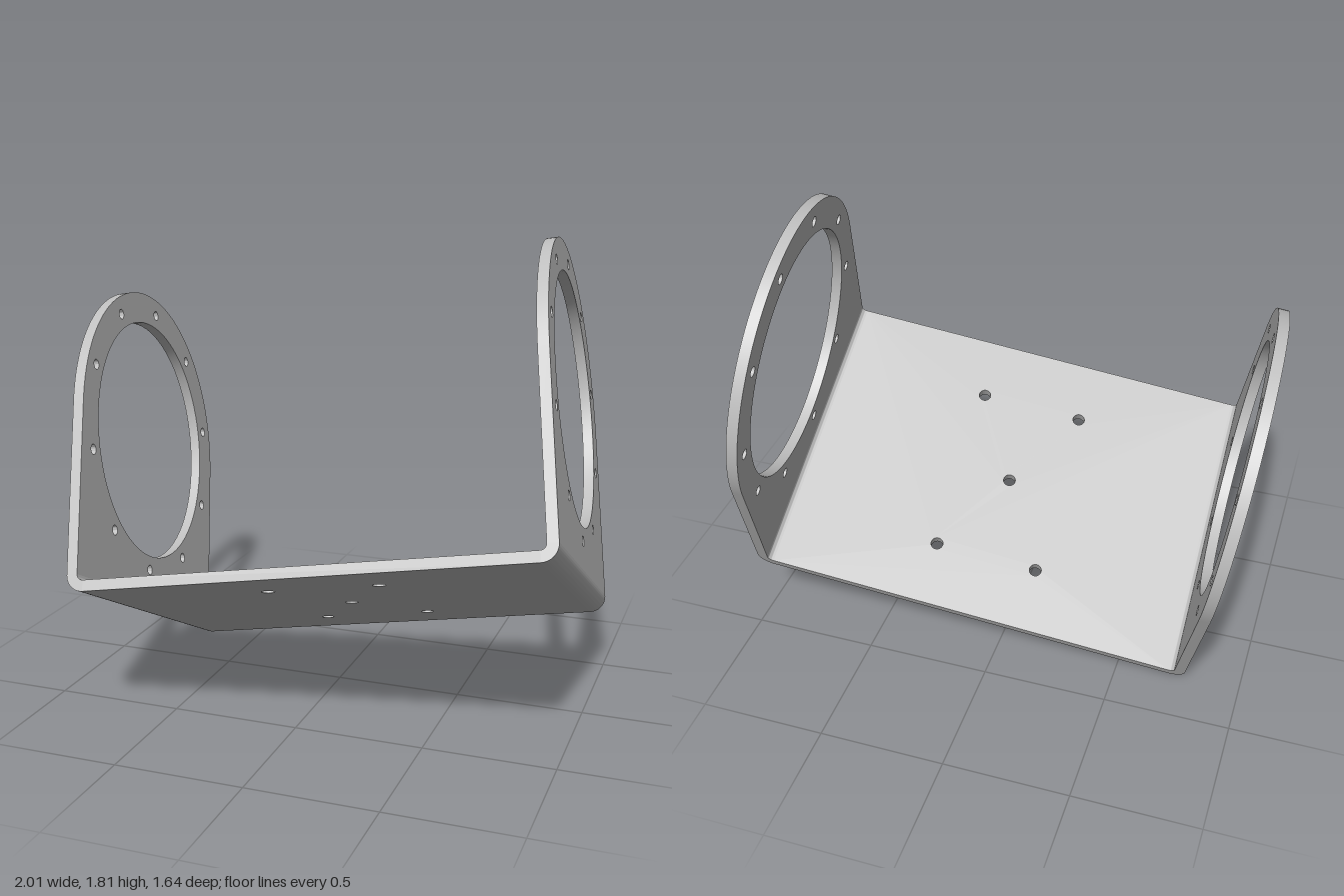
import * as THREE from 'three';
import { toCreasedNormals } from 'three/addons/utils/BufferGeometryUtils.js';

const HALF_W = 0.905;   // half the outer width between the arms
const HALF_D = 0.62;    // half the depth, also the radius of the arm ends
const T = 0.042;        // sheet thickness
const BEND = 0.065;     // outer bend radius
const RING_Y = 0.732;   // height of the ring centre above the underside

function extrude(shape, depth, curveSegments) {
  const geo = new THREE.ExtrudeGeometry(shape, { depth, bevelEnabled: false, curveSegments });
  return toCreasedNormals(geo, 0.5);
}

function punch(shape, x, y, r) {
  const hole = new THREE.Path();
  hole.absarc(x, y, r, 0, Math.PI * 2, true);
  shape.holes.push(hole);
}

// Upright plate with a round end, a large opening and ten bolt holes
function armGeometry() {
  const s = new THREE.Shape();
  s.moveTo(-HALF_D, BEND);
  s.lineTo(HALF_D, BEND);
  s.lineTo(HALF_D, RING_Y);
  s.absarc(0, RING_Y, HALF_D, 0, Math.PI, false);
  s.closePath();
  punch(s, 0, RING_Y, 0.495);
  for (let i = 0; i < 10; i++) {
    const a = (i / 10) * Math.PI * 2;
    punch(s, Math.sin(a) * 0.552, RING_Y + Math.cos(a) * 0.552, 0.02);
  }
  return extrude(s, T, 40).rotateY(Math.PI / 2);
}

// Flat plate with five mounting holes
function baseGeometry() {
  const w = HALF_W - BEND;
  const s = new THREE.Shape();
  s.moveTo(-w, -HALF_D);
  s.lineTo(w, -HALF_D);
  s.lineTo(w, HALF_D);
  s.lineTo(-w, HALF_D);
  s.closePath();
  punch(s, 0, 0, 0.025);
  for (const x of [-0.213, 0.213]) for (const z of [-0.36, 0.36]) punch(s, x, z, 0.025);
  return extrude(s, T, 24).rotateX(-Math.PI / 2);
}

// Quarter ring joining the base to an arm
function bendGeometry(side) {
  const start = side > 0 ? -Math.PI / 2 : Math.PI;
  const s = new THREE.Shape();
  s.absarc(0, 0, BEND, start, start + Math.PI / 2, false);
  s.absarc(0, 0, BEND - T, start + Math.PI / 2, start, true);
  s.closePath();
  return extrude(s, HALF_D * 2, 12);
}

export function createModel() {
  const model = new THREE.Group();
  model.name = 'bracket';
  const metal = new THREE.MeshStandardMaterial({ color: 0xc0c0c0 });
  metal.name = 'light grey metal';

  const body = new THREE.Group();
  body.name = 'tiltedBody';
  const add = (name, geo, x, y, z) => {
    const mesh = new THREE.Mesh(geo, metal);
    mesh.name = name;
    mesh.position.set(x, y, z);
    body.add(mesh);
  };

  add('basePlate', baseGeometry(), 0, 0, 0);
  for (const side of [1, -1]) {
    const label = side > 0 ? 'left' : 'right';
    add(label + 'Arm', armGeometry(), side > 0 ? HALF_W - T : -HALF_W, 0, 0);
    add(label + 'Bend', bendGeometry(side), side * (HALF_W - BEND), BEND, -HALF_D);
  }

  // The whole bracket is tipped back and rolled to one side
  body.rotation.set(THREE.MathUtils.degToRad(-27.4), 0, THREE.MathUtils.degToRad(10));
  body.position.set(0.121, 0.423, 0.2);
  model.add(body);
  return model;
}
